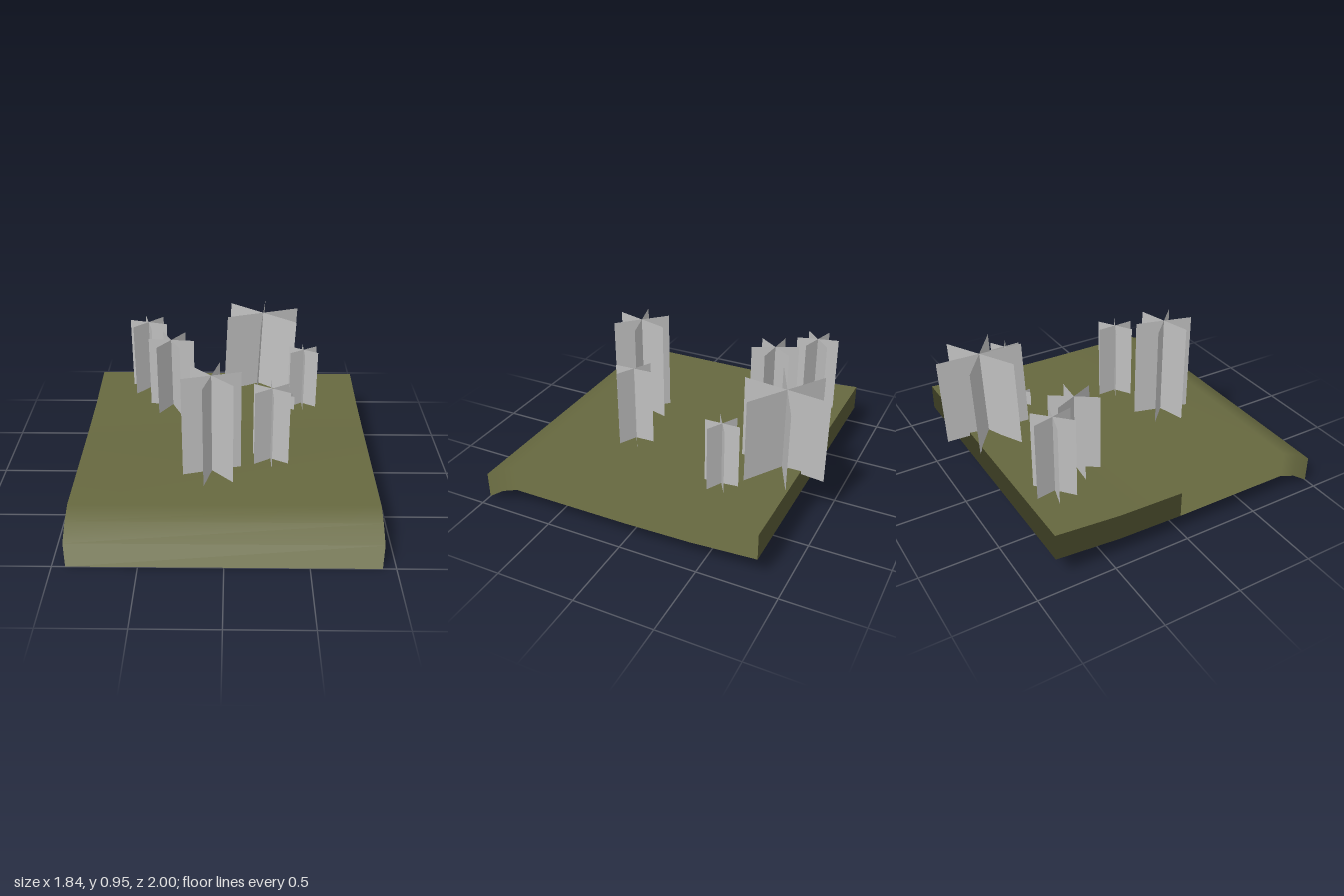
import * as THREE from 'three';

const grass = new THREE.MeshStandardMaterial({ color: 0x66683f, side: THREE.DoubleSide });
grass.name = 'olive ground';
const foliage = new THREE.MeshStandardMaterial({ color: 0xbfbfbf, side: THREE.DoubleSide });
foliage.name = 'pale grey panels';

// Ground sheet: rows from front to back (z, height), with a skirt hanging from its rim
function groundGeometry() {
  const rows = [[1, 0.17], [0.89, 0.243], [0.78, 0.285], [0, 0.287], [-0.42, 0.297], [-0.84, 0.328]];
  const halfWidth = 0.92, drop = 0.17;
  const pos = [], index = [];
  rows.forEach(([z, y]) => {
    const twist = z < -0.5 ? 0.004 : 0; // back edge is a touch higher on one side
    pos.push(-halfWidth, y + twist, z, halfWidth, y - twist, z);
  });
  for (let r = 0; r < rows.length - 1; r++) {
    const a = r * 2;
    index.push(a, a + 1, a + 3, a, a + 3, a + 2);
  }
  const top = new THREE.BufferGeometry();
  top.setAttribute('position', new THREE.Float32BufferAttribute(pos, 3));
  top.setIndex(index);
  top.computeVertexNormals();

  // The skirt reuses the normals of the rim, so it blends into the surface
  const normals = [...top.attributes.normal.array];
  const n = rows.length * 2;
  for (let i = 0; i < n; i++) {
    pos.push(pos[i * 3], pos[i * 3 + 1] - drop, pos[i * 3 + 2]);
    normals.push(normals[i * 3], normals[i * 3 + 1], normals[i * 3 + 2]);
  }
  const rim = [];
  for (let r = 0; r < rows.length; r++) rim.push(r * 2 + 1);
  for (let r = rows.length - 1; r >= 0; r--) rim.push(r * 2);
  rim.forEach((a, i) => {
    const b = rim[(i + 1) % rim.length];
    index.push(a + n, b + n, b, a + n, b, a);
  });
  const geo = new THREE.BufferGeometry();
  geo.setAttribute('position', new THREE.Float32BufferAttribute(pos, 3));
  geo.setAttribute('normal', new THREE.Float32BufferAttribute(normals, 3));
  geo.setIndex(index);
  return geo;
}

// Plant: three upright panels crossing at 60 degrees
function plant(name, x, z, bottom, top, width, degrees) {
  const group = new THREE.Group();
  group.name = name;
  const geo = new THREE.PlaneGeometry(width, top - bottom);
  geo.translate(0, (top - bottom) / 2, 0);
  for (let i = 0; i < 3; i++) {
    const panel = new THREE.Mesh(geo, foliage);
    panel.name = 'panel';
    panel.rotation.y = -THREE.MathUtils.degToRad(degrees + i * 60);
    group.add(panel);
  }
  group.position.set(x, bottom, z);
  return group;
}

export function createModel() {
  const model = new THREE.Group();
  model.name = 'plantedGround';

  const ground = new THREE.Mesh(groundGeometry(), grass);
  ground.name = 'ground';
  model.add(ground);

  model.add(
    plant('tallPlant', -0.08, 0.413, 0.283, 0.948, 0.37, 45),
    plant('frontPlant', 0.287, 0.273, 0.283, 0.79, 0.25, 28),
    plant('middlePlant', -0.375, -0.412, 0.285, 0.795, 0.31, 5),
    plant('backPlant', -0.547, -0.642, 0.305, 0.826, 0.27, 16),
    plant('sidePlant', 0.53, -0.442, 0.293, 0.713, 0.217, 29),
    plant('smallPlant', 0.427, -0.363, 0.29, 0.396, 0.1, 20),
  );

  // Widest plant leans out over the back edge
  const wide = plant('widePlant', 0.232, -0.713, 0.308, 0.866, 0.55, 35);
  wide.rotation.set(-0.023, 0, -0.045);
  model.add(wide);

  return model;
}
